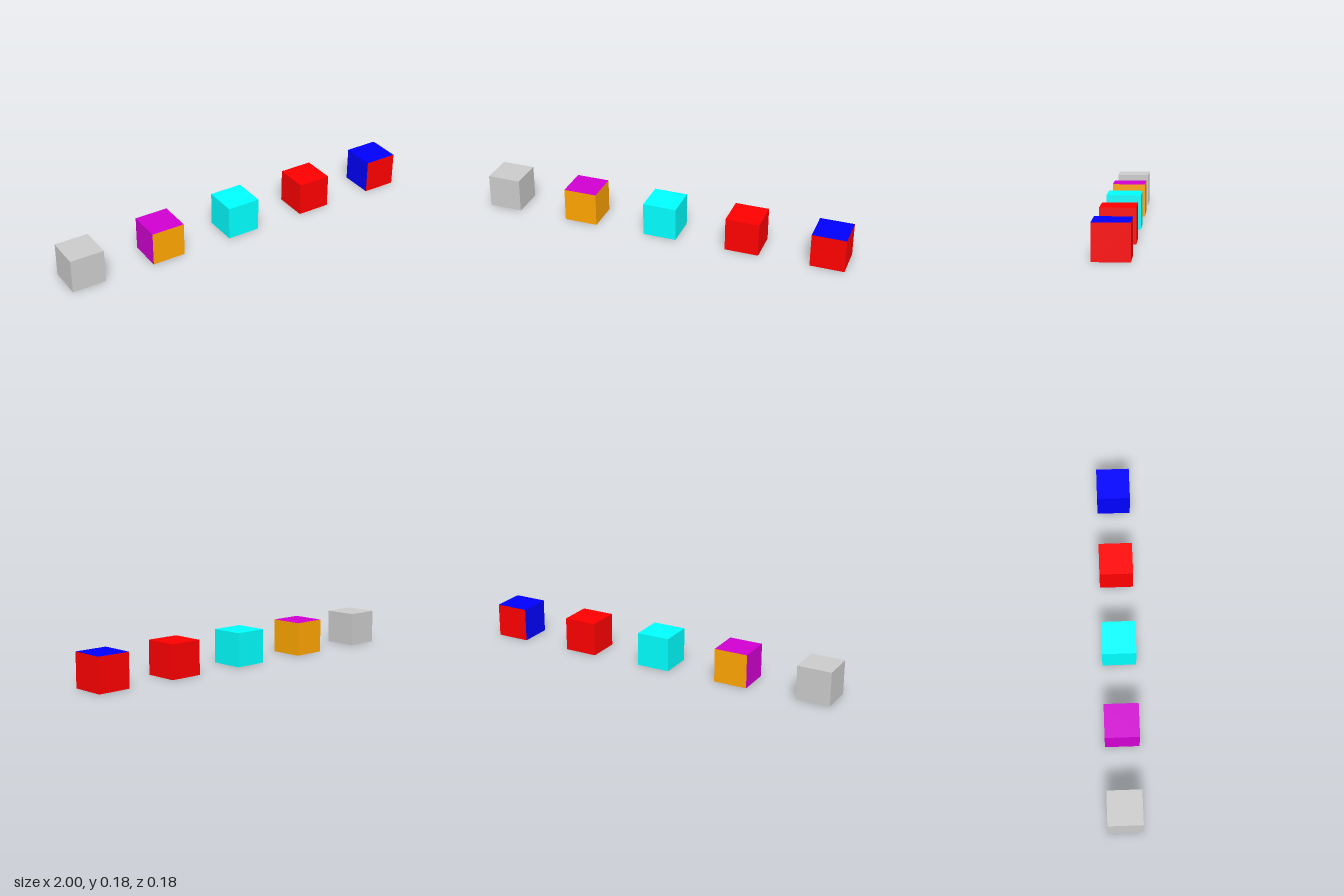
import * as THREE from 'three';

const SIZE = 2 / 11;
const SPACING = 5 / 11;
const GREY = 0xcccccc, RED = 0xff0000, BLUE = 0x0000ff, GREEN = 0x00ff00;
const CYAN = 0x00ffff, ORANGE = 0xffa500, MAGENTA = 0xd200d2;

// Cubes from right (-x) to left (+x); a list gives face colours as +x, -x, +y, -y, +z, -z
const CUBES = [
  ['greyCube', GREY],
  ['orangeMagentaCube', [ORANGE, MAGENTA, MAGENTA, MAGENTA, ORANGE, ORANGE]],
  ['cyanCube', CYAN],
  ['redCube', RED],
  ['multicolourCube', [RED, BLUE, BLUE, GREEN, RED, RED]],
];

const paint = (color) => new THREE.MeshStandardMaterial({ color });

export function createModel() {
  const model = new THREE.Group();
  model.name = 'cubeRow';
  const box = new THREE.BoxGeometry(SIZE, SIZE, SIZE);

  // Evenly spaced row standing on the ground
  CUBES.forEach(([name, colors], i) => {
    const material = Array.isArray(colors) ? colors.map(paint) : paint(colors);
    const cube = new THREE.Mesh(box, material);
    cube.name = name;
    cube.position.set((i - 2) * SPACING, SIZE / 2, 0);
    model.add(cube);
  });
  return model;
}
